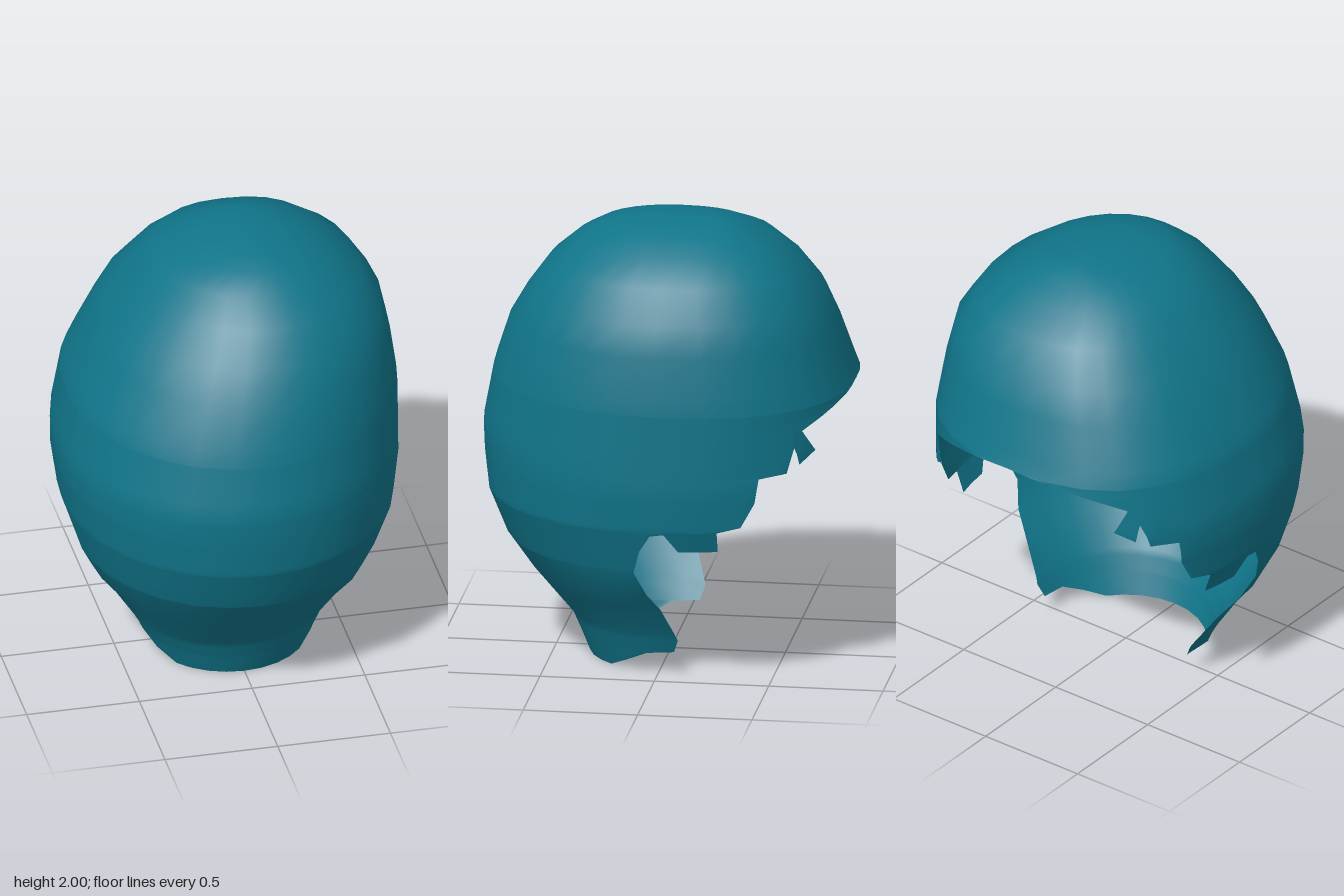
import * as THREE from 'three';
import { mergeVertices } from 'three/addons/utils/BufferGeometryUtils.js';

// Horizontal cross-sections: y, right x, left x, back z, front z
const SECTIONS = [
  [0, -0.35, 0.35, -0.35, 0.35],
  [0.1, -0.39, 0.39, -0.39, 0.39],
  [0.19, -0.44, 0.43, -0.43, 0.43],
  [0.33, -0.53, 0.52, -0.56, 0.55],
  [0.42, -0.6, 0.6, -0.62, 0.62],
  [0.54, -0.66, 0.65, -0.71, 0.71],
  [0.74, -0.72, 0.72, -0.79, 0.79],
  [0.92, -0.745, 0.74, -0.82, 0.81],
  [1.04, -0.745, 0.74, -0.83, 0.815],
  [1.27, -0.7, 0.74, -0.815, 0.77],
  [1.34, -0.68, 0.735, -0.79, 0.75],
  [1.52, -0.59, 0.71, -0.735, 0.69],
  [1.66, -0.51, 0.68, -0.68, 0.61],
  [1.8, -0.39, 0.59, -0.58, 0.51],
  [1.9, -0.29, 0.46, -0.46, 0.39],
  [1.96, -0.15, 0.34, -0.34, 0.29],
  [1.985, -0.06, 0.24, -0.28, 0.17],
  [2, 0.04, 0.16, -0.22, 0.05],
  [2, 0.11, 0.11, -0.08, -0.08],
];

// Ragged opening edge: y, furthest-back z that still has surface
const RIM = [
  [0, 0.22], [0.045, 0.14], [0.09, 0.05], [0.1, -0.07], [0.16, -0.09],
  [0.33, -0.03], [0.42, 0.02], [0.53, 0.07], [0.64, 0.04], [0.72, -0.01],
  [0.73, -0.07], [0.74, -0.3], [0.76, -0.4], [0.87, -0.46], [0.98, -0.478],
  [0.99, -0.59], [1.1, -0.62], [1.17, -0.65], [1.21, -0.72],
  [1.235, -0.765], [1.255, -0.8], [1.264, -0.811], [1.27, -0.815],
];

// Linear lookup in a table sorted by its first column
function lookup(table, y) {
  let i = 0;
  while (i < table.length - 2 && table[i + 1][0] < y) i++;
  const a = table[i], b = table[i + 1];
  const t = b[0] === a[0] ? 0 : (y - a[0]) / (b[0] - a[0]);
  return a.map((v, k) => v + (b[k] - v) * t);
}

// The back half of each section is a little squarer than the front
const power = (front) => (front ? 1 : 2 / 2.4);

function pointOn([y, x0, x1, z0, z1], angle) {
  const c = Math.cos(angle), s = Math.sin(angle), p = power(c >= 0);
  return [
    (x0 + x1) / 2 + ((x1 - x0) / 2) * Math.sign(s) * Math.abs(s) ** p,
    y,
    (z0 + z1) / 2 + ((z1 - z0) / 2) * Math.sign(c) * Math.abs(c) ** p,
  ];
}

function angleAt([, , , z0, z1], z) {
  const u = (z - (z0 + z1) / 2) / ((z1 - z0) / 2);
  const c = Math.sign(u) * Math.abs(u) ** (1 / power(u >= 0));
  return Math.acos(THREE.MathUtils.clamp(c, -1, 1));
}

// Skin a stack of rows, each { section, angles }
function skin(rows) {
  const n = rows[0].angles.length, pos = [], index = [];
  rows.forEach(({ section, angles }) => angles.forEach((a) => pos.push(...pointOn(section, a))));
  for (let i = 0; i < rows.length - 1; i++) {
    for (let j = 0; j < n - 1; j++) {
      const a = i * n + j, c = a + n;
      index.push(a, a + 1, c + 1, a, c + 1, c);
    }
  }
  const geo = new THREE.BufferGeometry();
  geo.setAttribute('position', new THREE.Float32BufferAttribute(pos, 3));
  geo.setIndex(index);
  const merged = mergeVertices(geo, 1e-4);
  merged.computeVertexNormals();
  return merged;
}

export function createModel() {
  const group = new THREE.Group();
  group.name = 'headShell';
  const teal = new THREE.MeshStandardMaterial({ color: 0x10758a, side: THREE.DoubleSide });
  teal.name = 'teal';
  const add = (name, geo) => {
    const mesh = new THREE.Mesh(geo, teal);
    mesh.name = name;
    group.add(mesh);
  };

  // Main shell: full rings over the crown, open at the back below the rim
  const SEGMENTS = 28;
  const rimTop = RIM[RIM.length - 1][0];
  const heights = [...new Set([...SECTIONS, ...RIM].map((r) => r[0]))].sort((a, b) => a - b);
  const sections = heights.filter((y) => y < 2).map((y) => lookup(SECTIONS, y));
  sections.push(...SECTIONS.slice(-2));
  add('shell', skin(sections.map((section) => {
    const limit = section[0] < rimTop ? angleAt(section, lookup(RIM, section[0])[1]) : Math.PI;
    const angles = Array.from({ length: SEGMENTS + 1 }, (_, j) =>
      THREE.MathUtils.clamp((j / SEGMENTS * 2 - 1) * Math.PI, -limit, limit));
    return { section, angles };
  })));

  // Hanging points of the torn edge: y, front z, back z
  const teeth = {
    lowerTooth: [[0.645, -0.13, -0.3], [0.73, -0.07, -0.3], [0.74, -0.07, -0.3]],
    upperTooth: [[1.02, -0.64, -0.64], [1.07, -0.63, -0.7], [1.1, -0.62, -0.685], [1.17, -0.62, -0.65]],
  };
  for (const [name, rows] of Object.entries(teeth)) {
    for (const side of [-1, 1]) {
      add(name + (side > 0 ? 'Left' : 'Right'), skin(rows.map(([y, zFront, zBack]) => {
        const section = lookup(SECTIONS, y);
        const a = angleAt(section, zFront), b = angleAt(section, zBack), m = (a + b) / 2;
        return { section, angles: side > 0 ? [a, m, b] : [-b, -m, -a] };
      })));
    }
  }
  return group;
}
